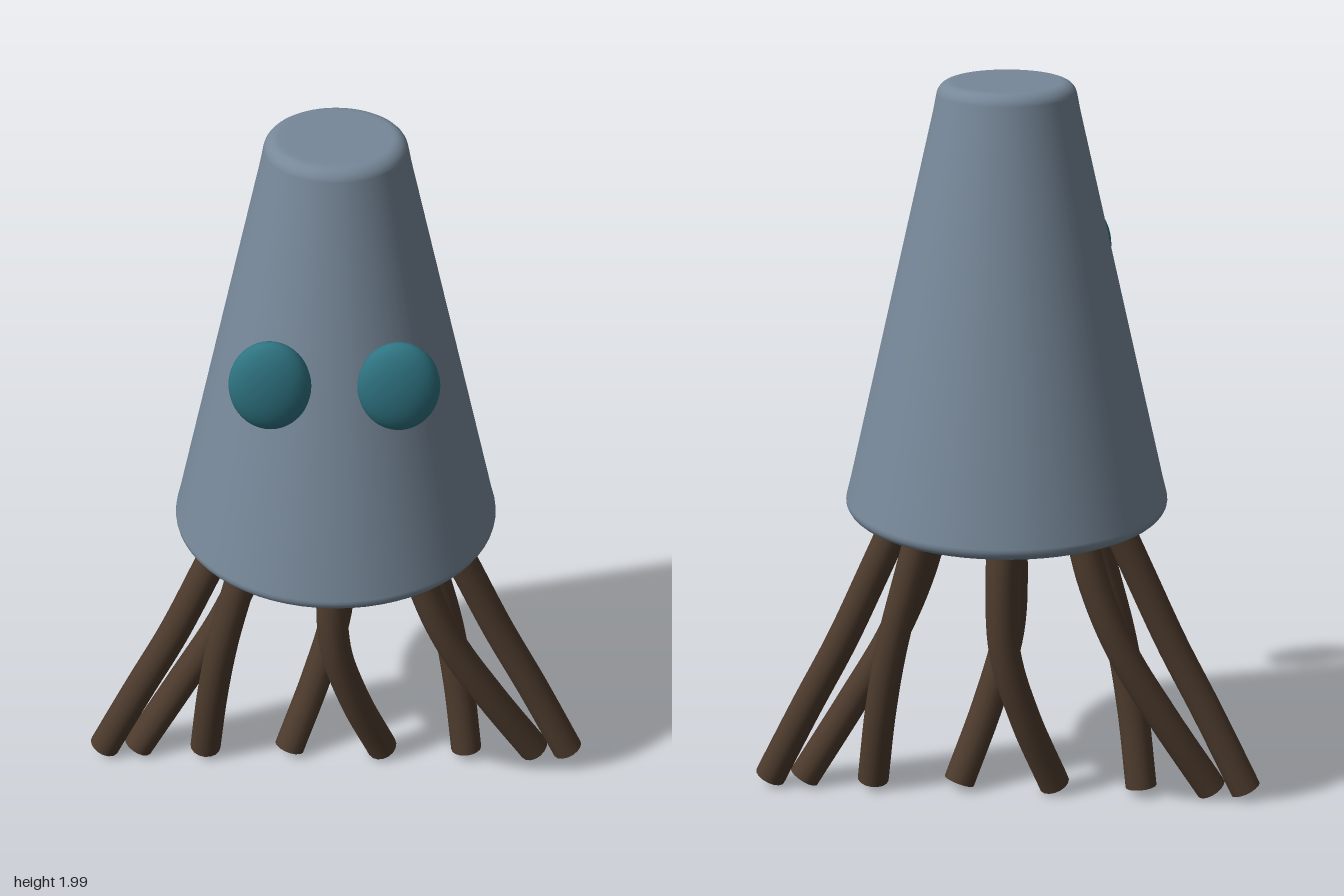
import * as THREE from 'three';

const V3 = (x, y, z) => new THREE.Vector3(x, y, z);

function part(name, geometry, color, parent) {
  const mesh = new THREE.Mesh(geometry, new THREE.MeshStandardMaterial({ color }));
  mesh.name = name;
  parent.add(mesh);
  return mesh;
}

export function createModel() {
  const model = new THREE.Group();
  model.name = 'squid';

  // Mantle: tapered body with rounded rims
  const rim = (cx, cy, r, from, to) => Array.from({ length: 7 }, (_, i) => {
    const a = from + (to - from) * i / 6;
    return new THREE.Vector2(cx + r * Math.cos(a), cy + r * Math.sin(a));
  });
  const profile = [
    new THREE.Vector2(0, 0.845), new THREE.Vector2(0.3, 0.845), new THREE.Vector2(0.398, 0.845),
    ...rim(0.402, 0.873, 0.028, -Math.PI / 2, 0.22),
    new THREE.Vector2(0.42, 0.915), new THREE.Vector2(0.19, 1.92),
    ...rim(0.143, 1.962, 0.038, 0.22, Math.PI / 2),
    new THREE.Vector2(0.13, 2), new THREE.Vector2(0, 2),
  ];
  part('mantle', new THREE.LatheGeometry(profile, 64), 0x778899, model);

  // Eyes: flattened ellipsoids on the front
  for (const side of [-1, 1]) {
    const eye = part(side > 0 ? 'leftEye' : 'rightEye', new THREE.SphereGeometry(1, 32, 24), 0x2f7482, model);
    eye.scale.set(0.103, 0.127, 0.048);
    eye.position.set(side * 0.16, 1.483, 0.335);
  }

  // Tentacles: four curves, each repeated half a turn around the body
  const heights = [0.9, 0.65, 0.45, 0.25, 0.03];
  const bulge = [0.02, 0.07, 0.08, 0.055, 0];
  const curves = [
    { x: [0.25, 0.36, 0.45, 0.552, 0.66], z: -0.195 },
    { x: [0.175, 0.235, 0.315, 0.43, 0.565], z: 0.556 },
    { x: [0.195, 0.26, 0.31, 0.345, 0.372], z: -0.556 },
    { x: [0, -0.01, 0, 0.053, 0.132], z: 0.98 },
  ];
  const radius = 0.043;
  const tentacles = new THREE.Group();
  tentacles.name = 'tentacles';
  model.add(tentacles);
  for (const turn of [1, -1]) {
    for (const c of curves) {
      const path = new THREE.CatmullRomCurve3(
        heights.map((y, i) => V3(turn * c.x[i], y, turn * c.z * bulge[i])));
      const tentacle = new THREE.Group();
      tentacle.name = 'tentacle';
      tentacles.add(tentacle);
      part('arm', new THREE.TubeGeometry(path, 32, radius, 16), 0x4d3b2d, tentacle);
      // Flat cap at the tip
      const tip = part('tip', new THREE.CircleGeometry(radius, 16), 0x4d3b2d, tentacle);
      tip.position.copy(path.getPoint(1));
      tip.quaternion.setFromUnitVectors(V3(0, 0, 1), path.getTangent(1));
    }
  }
  return model;
}
